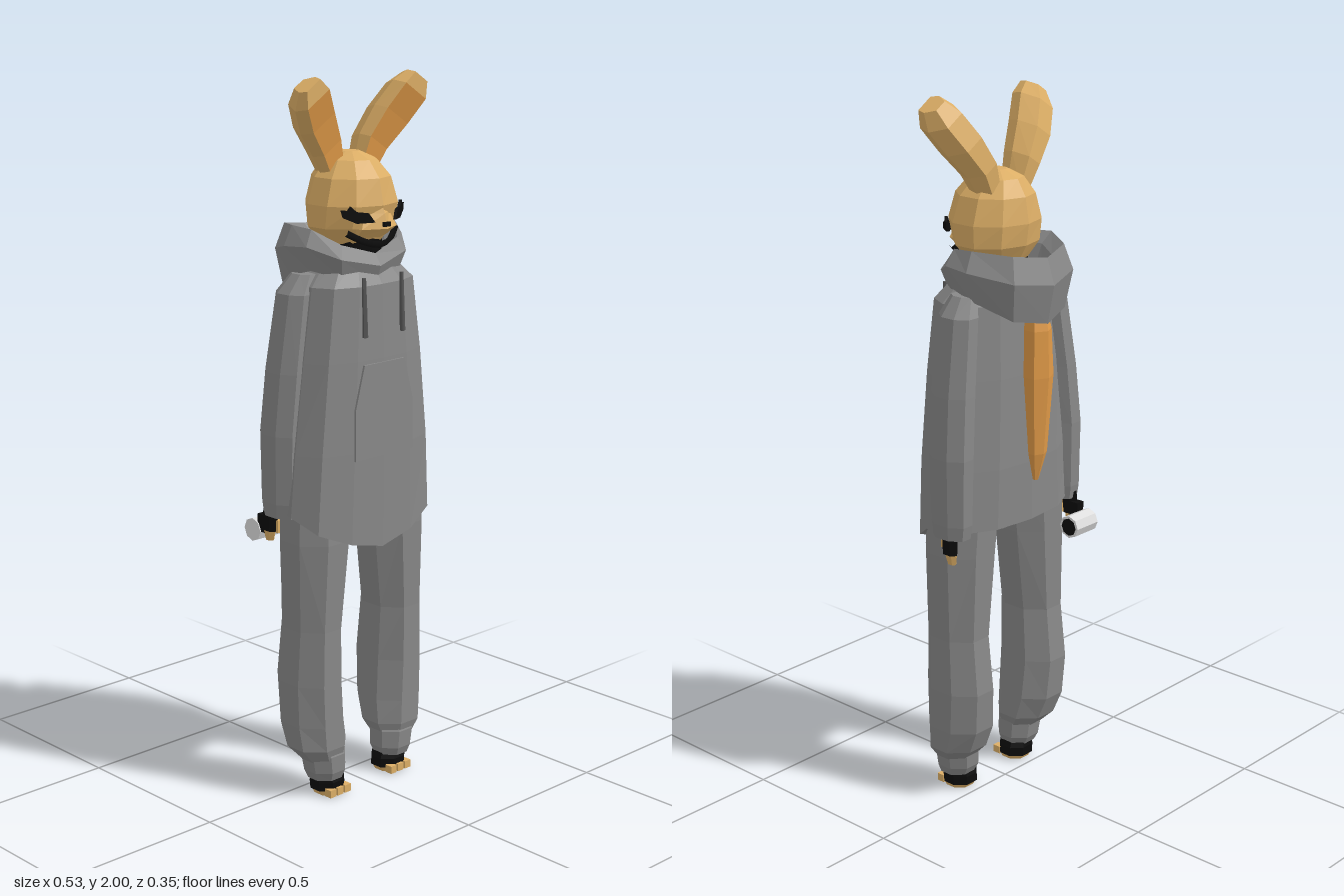
import * as THREE from 'three';

const mat = (name, color) => {
  const m = new THREE.MeshStandardMaterial({ color });
  m.name = name;
  return m;
};

// Skins a list of closed point rings with flat facets; orange(i, j) picks faces for material 1
function loft(rings, { caps = true, second = null } = {}) {
  const main = [], extra = [], n = rings[0].length;
  const tri = (out, ...pts) => pts.forEach(p => out.push(...p));
  for (let i = 0; i < rings.length - 1; i++) {
    for (let j = 0; j < n; j++) {
      const k = (j + 1) % n, out = second && second(i, j) ? extra : main;
      const a = rings[i][j], b = rings[i][k], c = rings[i + 1][k], d = rings[i + 1][j];
      tri(out, a, b, c);
      tri(out, a, c, d);
    }
  }
  if (caps) {
    const mid = r => [0, 1, 2].map(c => r.reduce((s, p) => s + p[c], 0) / n);
    const lo = rings[0], hi = rings[rings.length - 1], ml = mid(lo), mh = mid(hi);
    for (let j = 0; j < n; j++) {
      const k = (j + 1) % n;
      tri(main, ml, lo[k], lo[j]);
      tri(main, mh, hi[j], hi[k]);
    }
  }
  const g = new THREE.BufferGeometry();
  g.setAttribute('position', new THREE.Float32BufferAttribute([...main, ...extra], 3));
  if (second) {
    g.addGroup(0, main.length / 3, 0);
    g.addGroup(main.length / 3, extra.length / 3, 1);
  }
  g.computeVertexNormals();
  return g;
}

// Horizontal oval rings from [y, cx, cz, rx, rz]
const ovals = (levels, n, turn = 0) => levels.map(([y, cx, cz, rx, rz]) =>
  Array.from({ length: n }, (_, j) => {
    const a = (j + turn) / n * Math.PI * 2;
    return [cx + rx * Math.sin(a), y, cz + rz * Math.cos(a)];
  }));

// Mirrored copy across x with corner order restored
function mirrored(geometry) {
  const g = geometry.index ? geometry.toNonIndexed() : geometry.clone();
  const p = g.attributes.position;
  for (let t = 0; t < p.count; t += 3) {
    const v = [0, 2, 1].map(o => [-p.getX(t + o), p.getY(t + o), p.getZ(t + o)]);
    v.forEach((q, o) => p.setXYZ(t + o, ...q));
  }
  g.computeVertexNormals();
  return g;
}

export function createModel() {
  const model = new THREE.Group();
  const grey = mat('cloth grey', 0x888888), dark = mat('cord grey', 0x585858);
  const tan = mat('tan fur', 0xdcae66), orange = mat('orange fur', 0xe09a48);
  const black = mat('black', 0x0c0c0c), pale = mat('pale grey', 0xdedede);

  const add = (name, g, m) => {
    const mesh = new THREE.Mesh(g, m);
    mesh.name = name;
    model.add(mesh);
    return mesh;
  };
  const pair = (name, g, m) => {
    add('left' + name, g, m);
    return add('right' + name, mirrored(g), m);
  };

  // Hoodie body, with a hem dipping to a point in front
  const half = [[0, 1, -0.08], [0.45, 0.98, -0.055], [0.84, 0.87, -0.015], [1, 0.62, 0.03],
    [0.92, 0.25, 0.03], [0.5, 0.05, 0.03], [0, 0, 0.03]];
  const outline = [...half, ...half.slice(1, -1).reverse().map(([x, t, d]) => [-x, t, d])];
  const body = [[0.8, 0.25, 0.163, -0.1], [1.0, 0.235, 0.166, -0.1], [1.25, 0.205, 0.163, -0.09],
    [1.45, 0.175, 0.155, -0.075], [1.52, 0.1, 0.11, -0.05]];
  add('hoodieBody', loft(body.map(([y, w, zf, zb], i) =>
    outline.map(([x, t, d]) => [x * w, y + (i ? 0 : d), zb + (zf - zb) * t]))), grey);

  // Front pocket
  const pocket = new THREE.Shape([[-0.075, 1.24], [-0.108, 1.12], [-0.108, 0.98], [0.108, 0.98],
    [0.108, 1.12], [0.075, 1.24]].map(p => new THREE.Vector2(...p)));
  add('pocket', new THREE.ExtrudeGeometry(pocket, { depth: 0.006, bevelEnabled: false })
    .translate(0, 0, 0.161), grey);

  // Rolled hood around the neck: [x, z, top, bottom] from front to back
  const hoodHalf = [[0, 0.15, 1.53, 1.45], [0.12, 0.125, 1.56, 1.47], [0.178, 0.05, 1.6, 1.49],
    [0.185, -0.03, 1.605, 1.47], [0.118, -0.14, 1.595, 1.42], [0, -0.175, 1.58, 1.4]];
  const hood = [...hoodHalf, ...hoodHalf.slice(1, -1).reverse().map(([x, ...r]) => [-x, ...r]), hoodHalf[0]];
  add('hood', loft(hood.map(([x, z, t, b]) => [[0.86, t], [1, b + (t - b) * 0.6], [0.88, b],
    [0.5, b + 0.02], [0.68, t - 0.03]].map(([s, y]) => [x * s, y, z * s])), { caps: false }), grey);

  // Drawstrings
  pair('Drawstring', new THREE.CylinderGeometry(0.006, 0.008, 0.16, 5).toNonIndexed()
    .rotateX(-0.04).translate(0.07, 1.395, 0.161), dark);

  // Sleeves
  pair('Sleeve', loft(ovals([[0.82, 0.222, -0.005, 0.042, 0.06], [0.86, 0.222, -0.005, 0.046, 0.066],
    [1.05, 0.221, -0.005, 0.05, 0.07], [1.22, 0.206, 0, 0.05, 0.068],
    [1.43, 0.178, 0.005, 0.046, 0.06], [1.48, 0.15, 0.01, 0.03, 0.04]], 8, 0.5)), grey);

  // Hands: black glove, bare fingers and thumb
  for (const [side, s, dz] of [['left', 1, 0], ['right', -1, -0.035]]) {
    add(side + 'Glove', loft(ovals([[0.77, s * 0.232, dz - 0.008, 0.017, 0.026],
      [0.84, s * 0.228, dz - 0.005, 0.02, 0.028]], 6)), black);
    add(side + 'Fingers', loft(ovals([[0.74, s * 0.228, dz - 0.012, 0.01, 0.014],
      [0.775, s * 0.231, dz - 0.01, 0.015, 0.023]], 6)), tan);
    add(side + 'Thumb', new THREE.BoxGeometry(0.014, 0.035, 0.012)
      .translate(s * 0.226, 0.785, dz + 0.02), tan);
  }

  // Baggy trousers and gathered cuffs
  add('hips', loft(ovals([[0.8, 0, 0.035, 0.14, 0.08], [0.95, 0, 0.035, 0.19, 0.1]], 8, 0.5)), grey);
  pair('Trouser', loft(ovals([[0.1, 0.135, 0.068, 0.056, 0.052], [0.15, 0.146, 0.05, 0.088, 0.085],
    [0.22, 0.15, 0.035, 0.09, 0.1], [0.34, 0.155, 0.03, 0.086, 0.104], [0.5, 0.154, 0.038, 0.08, 0.095],
    [0.75, 0.142, 0.04, 0.1, 0.104], [0.92, 0.13, 0.035, 0.105, 0.105]], 8, 0.5)), grey);
  pair('Cuff', loft(ovals([[0.05, 0.13, 0.068, 0.052, 0.05], [0.075, 0.13, 0.066, 0.062, 0.062],
    [0.125, 0.135, 0.064, 0.066, 0.066], [0.15, 0.14, 0.06, 0.06, 0.06]], 8, 0.5)), grey);

  // Feet: black wraps with bare soles and toes
  pair('FootWrap', loft(ovals([[0.014, 0.12, 0.066, 0.052, 0.05], [0.04, 0.122, 0.066, 0.053, 0.05],
    [0.07, 0.127, 0.066, 0.045, 0.042]], 8, 0.5)), black);
  pair('Sole', loft(ovals([[0, 0.12, 0.07, 0.042, 0.042],
    [0.014, 0.12, 0.068, 0.048, 0.048]], 8, 0.5)), tan);
  for (const x of [0.092, 0.12, 0.148]) {
    pair('Toe', new THREE.BoxGeometry(0.022, 0.022, 0.024).translate(x, 0.013, 0.109), tan);
  }

  // Neck and head
  add('neck', loft(ovals([[1.44, 0, 0.02, 0.09, 0.085], [1.58, 0, 0.035, 0.085, 0.085]], 8)), black);
  add('head', loft(ovals([[1.555, 0, 0.03, 0.088, 0.08], [1.6, 0, 0.032, 0.13, 0.108],
    [1.66, 0, 0.037, 0.132, 0.122], [1.73, 0, 0.035, 0.108, 0.108],
    [1.775, 0, 0.03, 0.07, 0.075], [1.795, 0, 0.03, 0.025, 0.03]], 10)), tan);

  // Muzzle, nose and smile
  add('muzzle', loft([[1.575, 0.055, 0.145], [1.6, 0.065, 0.174], [1.64, 0.045, 0.164], [1.69, 0.02, 0.14]]
    .map(([y, w, z]) => [[0, y, z], [w, y, z - 0.03], [w, y, 0.07], [-w, y, 0.07], [-w, y, z - 0.03]])), tan);
  add('nose', new THREE.BoxGeometry(0.022, 0.012, 0.008).translate(0, 1.612, 0.171), black);
  const smile = [[0.09, 1.59, 0.112], [0.05, 1.567, 0.136], [0, 1.555, 0.148],
    [-0.05, 1.567, 0.136], [-0.09, 1.59, 0.112]].map(p => new THREE.Vector3(...p));
  add('mouth', new THREE.TubeGeometry(new THREE.CatmullRomCurve3(smile), 8, 0.009, 4), black);

  // Narrow eyes slanting down to the nose
  const eye = new THREE.Shape([[-0.045, -0.02], [0.005, -0.022], [0.042, -0.006], [0.048, 0.014],
    [0.03, 0.012], [0.022, 0.024], [0.004, 0.008], [-0.028, 0.004]].map(p => new THREE.Vector2(...p)));
  pair('Eye', new THREE.ExtrudeGeometry(eye, { depth: 0.008, bevelEnabled: false })
    .rotateY(0.56).translate(0.072, 1.64, 0.137), black);

  // Ears leaning outward and forward, orange inside: [x, y, z, half width, half depth]
  const earRing = [[-0.8, 0.7], [0.8, 0.7], [1, 0], [0.55, -0.9], [-0.55, -0.9], [-1, 0]];
  const ear = [[0.05, 1.73, 0.015, 0.03, 0.04], [0.085, 1.81, 0.018, 0.045, 0.052],
    [0.135, 1.88, 0.035, 0.056, 0.058], [0.178, 1.945, 0.062, 0.056, 0.056], [0.197, 1.982, 0.077, 0.034, 0.036]];
  pair('Ear', loft(ear.map(([x, y, z, w, d]) =>
    earRing.map(([u, v]) => [x + u * w * 0.84, y - u * w * 0.54, z + v * d])),
  { second: (i, j) => j === 0 && i < 3 }), [tan, orange]);

  // Long tail hanging from under the hood
  add('tail', loft(ovals([[0.95, 0, -0.113, 0.008, 0.008], [1.03, 0, -0.12, 0.03, 0.022],
    [1.25, 0, -0.122, 0.046, 0.037], [1.38, 0, -0.118, 0.04, 0.038], [1.44, 0, -0.11, 0.025, 0.03]], 6)), orange);

  // Small canister held behind the right hand
  const can = new THREE.CylinderGeometry(0.033, 0.033, 0.088, 8).toNonIndexed();
  can.computeVertexNormals();
  add('canister', can.rotateZ(Math.PI / 2).translate(-0.2, 0.76, -0.102), pale);
  add('canisterOpening', new THREE.CircleGeometry(0.026, 8).rotateY(Math.PI / 2)
    .translate(-0.155, 0.76, -0.102), black);
  add('canisterGrip', new THREE.BoxGeometry(0.026, 0.05, 0.03).translate(-0.228, 0.785, -0.068), black);

  return model;
}
